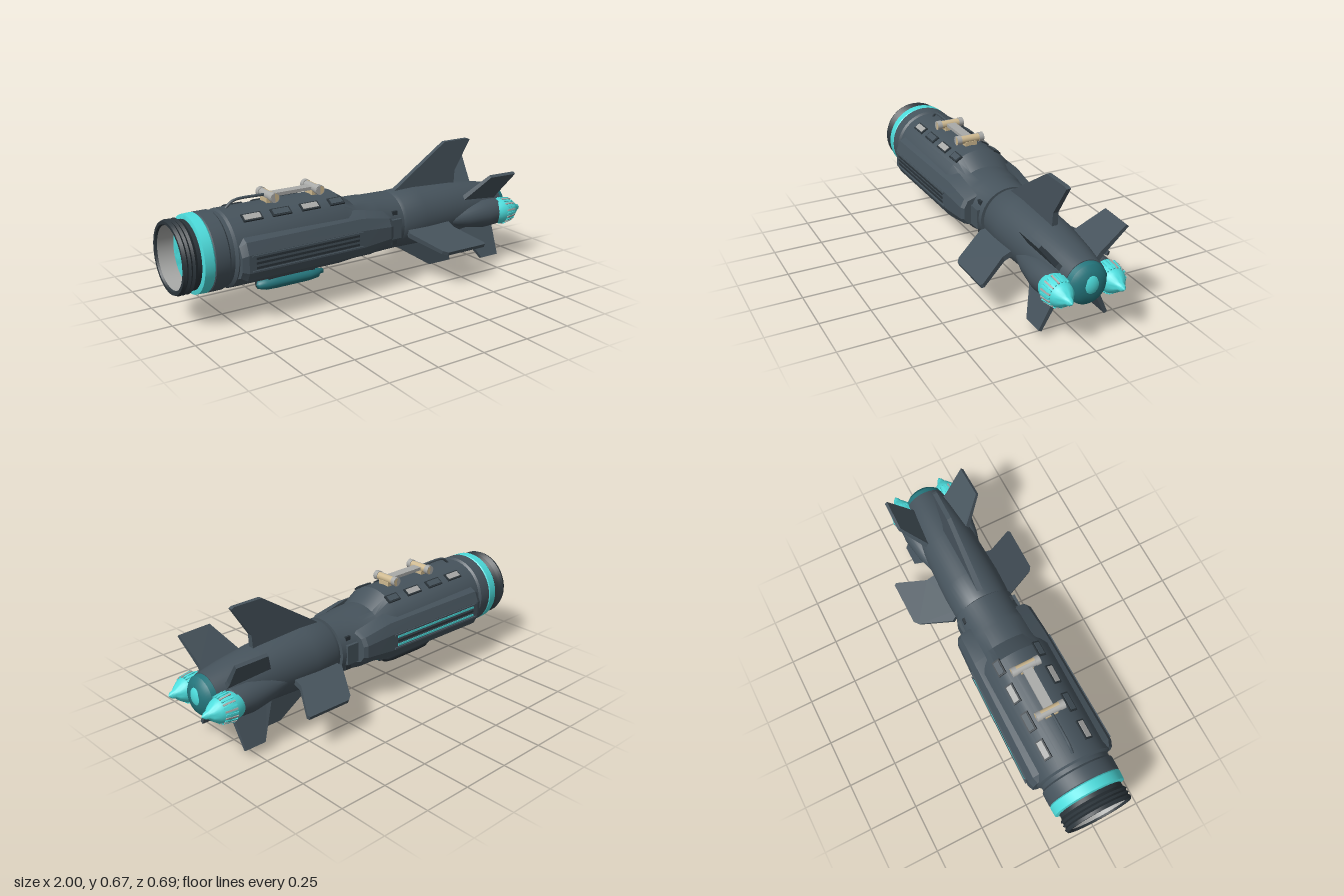
import * as THREE from 'three';
import { toCreasedNormals } from 'three/addons/utils/BufferGeometryUtils.js';

const mat = (name, color) => {
  const m = new THREE.MeshStandardMaterial({ color });
  m.name = name;
  return m;
};

export function createModel() {
  const hull = mat('slate hull', 0x46535c);
  const dark = mat('dark metal', 0x2b343a);
  const cyan = mat('cyan glow', 0x4cdcdc);
  const teal = mat('deep teal', 0x24757c);
  const grey = mat('light grey', 0xa9aaa8);
  const tan = mat('tan', 0xcdb88f);

  const model = new THREE.Group();
  model.name = 'missile';
  const add = (name, geo, material, x = 0, y = 0, z = 0) => {
    const m = new THREE.Mesh(geo, material);
    m.name = name;
    m.position.set(x, y, z);
    model.add(m);
    return m;
  };

  // Skin a list of rings, each { x, pts: [[y, z], ...] }, with capped ends
  const skin = (rings, crease = 0.5) => {
    const n = rings[0].pts.length, pos = [], idx = [];
    rings.forEach(r => r.pts.forEach(([y, z]) => pos.push(r.x, y, z)));
    for (let i = 0; i < rings.length - 1; i++) {
      for (let j = 0; j < n; j++) {
        const a = i * n + j, b = i * n + (j + 1) % n;
        idx.push(a, b, a + n, b, b + n, a + n);
      }
    }
    const last = (rings.length - 1) * n;
    for (let j = 1; j < n - 1; j++) {
      idx.push(0, j + 1, j, last, last + j, last + j + 1);
    }
    const g = new THREE.BufferGeometry();
    g.setAttribute('position', new THREE.Float32BufferAttribute(pos, 3));
    g.setIndex(idx);
    return toCreasedNormals(g, crease);
  };

  // Round loft along x from stations [x, centreY, radiusY, radiusZ]
  const loft = (stations, seg = 40) => skin(stations.map(([x, cy, ry, rz = ry]) => ({
    x,
    pts: Array.from({ length: seg }, (_, i) => {
      const a = i / seg * Math.PI * 2;
      return [cy + ry * Math.cos(a), rz * Math.sin(a)];
    }),
  })));

  // Hollow, ribbed rear ring
  const C = 0.33;
  add('rearRing', loft([
    [-0.985, C, 0.15], [-1, C, 0.155], [-1, C, 0.17], [-0.985, C, 0.175], [-0.975, C, 0.165], [-0.965, C, 0.175],
    [-0.955, C, 0.165], [-0.945, C, 0.175], [-0.93, C, 0.163], [-0.9, C, 0.163],
  ].slice(1)), dark);
  model.children.pop();
  const ringShell = new THREE.LatheGeometry([
    [0.15, -0.99], [0.155, -1], [0.17, -1], [0.176, -0.985], [0.166, -0.975], [0.176, -0.965],
    [0.166, -0.955], [0.176, -0.945], [0.165, -0.93], [0.165, -0.9],
  ].map(p => new THREE.Vector2(...p)).reverse(), 40);
  ringShell.rotateZ(-Math.PI / 2);
  const ringMat = dark.clone();
  ringMat.side = THREE.DoubleSide;
  add('rearRing', toCreasedNormals(ringShell, 0.5), ringMat, 0, C);
  const bore = new THREE.CylinderGeometry(0.15, 0.15, 0.1, 40, 1, true).rotateZ(Math.PI / 2);
  const boreMat = grey.clone();
  boreMat.side = THREE.DoubleSide;
  add('rearBore', bore, boreMat, -0.94, C);
  add('rearLens', new THREE.CylinderGeometry(0.15, 0.15, 0.01, 40).rotateZ(Math.PI / 2), cyan, -0.905, C);
  add('glowBand', loft([[-0.91, C, 0.168], [-0.905, C, 0.186], [-0.86, C, 0.188], [-0.85, C, 0.18]]), cyan);

  // Main hull, stepping down to the neck
  add('hull', loft([
    [-0.855, C, 0.182], [-0.85, C, 0.188], [-0.785, C, 0.188], [-0.775, C, 0.178], [-0.755, C, 0.178],
    [-0.745, C, 0.187, 0.195], [-0.15, C, 0.187, 0.195], [-0.06, 0.305, 0.153, 0.18],
    [0.04, 0.303, 0.152, 0.175], [0.07, 0.303, 0.15, 0.16], [0.2, 0.303, 0.148, 0.155],
  ]), hull);
  add('neckRing', loft([[0.195, 0.303, 0.135], [0.215, 0.303, 0.135]]), dark);

  // Side armour panels with long slots
  const section = [[0.435, 0.14], [0.405, 0.205], [0.35, 0.228], [0.265, 0.228], [0.222, 0.205], [0.19, 0.14]];
  const stations = [[-0.74, 0.94, 0.8], [-0.71, 0.99, 1], [-0.08, 0.94, 1], [0.08, 0.91, 0.72], [0.1, 0.86, 0.66]];
  for (const s of [1, -1]) {
    const side = s > 0 ? 'front' : 'back';
    const rings = stations.map(([x, k, h]) => {
      const pts = section.map(([y, z]) => [0.308 + (y - 0.308) * h, s * z * k]);
      return { x, pts: s > 0 ? pts : pts.reverse() };
    });
    add(side + 'SidePanel', skin(rings, 0.3), hull);
    for (let i = 0; i < 3; i++) {
      const slot = add(side + 'Slot', new THREE.BoxGeometry(0.56, 0.011, 0.008),
        s < 0 && i !== 1 ? cyan : dark, -0.395, 0.287 + i * 0.022, s * 0.2195);
      slot.rotation.y = s * 0.018;
    }
    // Frame bars above and below the slots
    for (const y of [0.272, 0.344]) {
      const bar = add(side + 'SlotFrame', new THREE.BoxGeometry(0.6, 0.008, 0.014), hull, -0.395, y, s * 0.2195);
      bar.rotation.y = s * 0.018;
    }
    // Shoulder windows in dark frames
    [-0.63, -0.48, -0.325, -0.18].forEach((x, i) => {
      const a = s * 0.57, w = i === 3 ? 0.08 : 0.1;
      [[w, 0.044, 0.188, dark], [w - 0.016, 0.03, 0.191, i % 2 ? hull : grey]].forEach(([l, d, r, m]) => {
        const p = add(side + 'Window', new THREE.BoxGeometry(l, 0.009, d), m, x, C + r * Math.cos(a), s * 0.006 + r * Math.sin(a));
        p.rotation.x = a;
      });
    });
    // Neck plates and studs
    add(side + 'NeckPlate', new THREE.BoxGeometry(0.07, 0.1, 0.02), hull, 0.14, 0.303, s * 0.153);
    for (const y of [0.23, 0.375]) {
      add(side + 'NeckStud', new THREE.BoxGeometry(0.03, 0.03, 0.03), dark, 0.15, y, s * 0.125);
    }
  }

  // Carrying handle on top
  for (const x of [-0.49, -0.245]) {
    const half = (name, m, start) => add(name,
      new THREE.CylinderGeometry(0.021, 0.021, 0.15, 16, 1, false, start, Math.PI).rotateX(Math.PI / 2), m, x, 0.546, 0);
    half('handleCrossbarFace', tan, 0);
    half('handleCrossbar', grey, Math.PI);
    add('handlePost', new THREE.BoxGeometry(0.045, 0.03, 0.065), tan, x, 0.522, 0);
    for (const z of [-0.062, 0.062]) {
      add('handleCollar', new THREE.CylinderGeometry(0.024, 0.024, 0.025, 16).rotateX(Math.PI / 2), grey, x, 0.546, z);
    }
  }
  add('handleRail', new THREE.BoxGeometry(0.25, 0.016, 0.05), grey, -0.367, 0.546, 0);
  add('handleStrut', new THREE.TubeGeometry(new THREE.CatmullRomCurve3([
    new THREE.Vector3(-0.71, 0.515, 0), new THREE.Vector3(-0.67, 0.545, 0), new THREE.Vector3(-0.5, 0.55, 0),
  ]), 12, 0.007, 8), hull);

  // Underslung pod, teal at the front and dark at the back
  for (const [m, start] of [[teal, 0], [dark, Math.PI]]) {
    const pts = [[0, -0.185], [0.024, -0.178], [0.038, -0.14], [0.041, -0.08], [0.041, 0.1], [0.034, 0.15], [0.018, 0.165], [0.016, 0.185], [0, 0.185]];
    const g = new THREE.LatheGeometry(pts.map(p => new THREE.Vector2(...p)), 14, start - Math.PI / 2, Math.PI);
    g.rotateZ(-Math.PI / 2).scale(1, 0.8, 1.03);
    add('bellyPod', g, m, -0.38, 0.106, 0);
  }
  add('bellyPodMount', new THREE.BoxGeometry(0.26, 0.035, 0.05), dark, -0.38, 0.135, 0);

  // Tail body and glowing nose
  add('tailBody', loft([
    [0.205, 0.303, 0.142], [0.225, 0.303, 0.15], [0.35, 0.303, 0.153], [0.6, 0.3, 0.143],
    [0.78, 0.295, 0.122], [0.89, 0.292, 0.103],
  ]), hull);
  add('noseRim', loft([[0.885, 0.29, 0.102], [0.915, 0.29, 0.096], [0.935, 0.29, 0.075], [0.945, 0.29, 0.04]]), teal);
  add('noseLens', new THREE.SphereGeometry(1, 28, 18).scale(0.045, 0.068, 0.06), cyan, 0.908, 0.298, 0);

  // Twin thrusters with fluted bands
  for (const s of [1, -1]) {
    const shroud = loft([[0.5, 0, 0.02], [0.62, 0, 0.055], [0.74, 0, 0.074], [0.83, 0, 0.07], [0.845, 0, 0.05]], 24);
    add('thrusterShroud', shroud, hull, 0, 0.272, s * 0.115);
    add('thruster', loft([
      [0.795, 0, 0.05], [0.82, 0, 0.062], [0.86, 0, 0.069], [0.895, 0, 0.067], [0.93, 0, 0.052],
      [0.955, 0, 0.034], [0.968, 0, 0.021], [0.985, 0, 0.015], [0.999, 0, 0.002],
    ], 28), cyan, 0, 0.272, s * 0.13);
    for (let i = 0; i < 24; i++) {
      const a = i / 24 * Math.PI * 2, outward = s * Math.sin(a) > 0.25;
      const rib = add('thrusterFlute', new THREE.BoxGeometry(0.06, 0.007, 0.008), outward && i % 2 ? grey : cyan,
        0.885, 0.272 + 0.0665 * Math.cos(a), s * 0.13 + 0.0665 * Math.sin(a));
      rib.rotation.set(a, 0, -0.16);
    }
  }

  // Fins: outline in (x, span), swung about x from a root point and thinned to the tip
  const fin = (name, outline, y, z, angle, thick = 0.03) => {
    const g = new THREE.ExtrudeGeometry(new THREE.Shape(outline.map(p => new THREE.Vector2(...p))),
      { depth: thick, bevelEnabled: false });
    g.translate(0, 0, -thick / 2);
    const p = g.attributes.position, tip = Math.max(...outline.map(o => o[1]));
    for (let i = 0; i < p.count; i++) p.setZ(i, p.getZ(i) * (1 - 0.35 * Math.max(0, p.getY(i)) / tip));
    g.computeVertexNormals();
    add(name, g, hull, 0, y, z).rotation.x = angle;
  };
  fin('topFin', [[0.25, 0.05], [0.62, 0.05], [0.63, 0.2], [0.73, 0.355], [0.715, 0.362], [0.56, 0.362], [0.21, 0.13]], 0.305, 0, 0, 0.034);
  fin('bottomFin', [[0.25, 0.05], [0.56, 0.05], [0.58, 0.17], [0.62, 0.303], [0.48, 0.303], [0.22, 0.135]], 0.305, 0, Math.PI);
  for (const s of [1, -1]) {
    fin('sideFin', [[0.25, 0], [0.49, 0], [0.49, 0.09], [0.575, 0.245], [0.57, 0.259], [0.335, 0.259], [0.31, 0.24], [0.22, 0.07]],
      0.283, s * 0.1, s * 1.95);
    fin('upperTailFin', [[0.6, -0.05], [0.84, -0.05], [0.84, 0.02], [0.87, 0.183], [0.7, 0.188], [0.61, 0.02]],
      0.36, s * 0.1, s * 0.69, 0.026);
    fin('lowerTailFin', [[0.6, -0.07], [0.82, -0.07], [0.82, 0.02], [0.81, 0.174], [0.7, 0.174], [0.6, 0]],
      0.2, s * 0.095, s * 2.69, 0.026);
  }
  return model;
}
